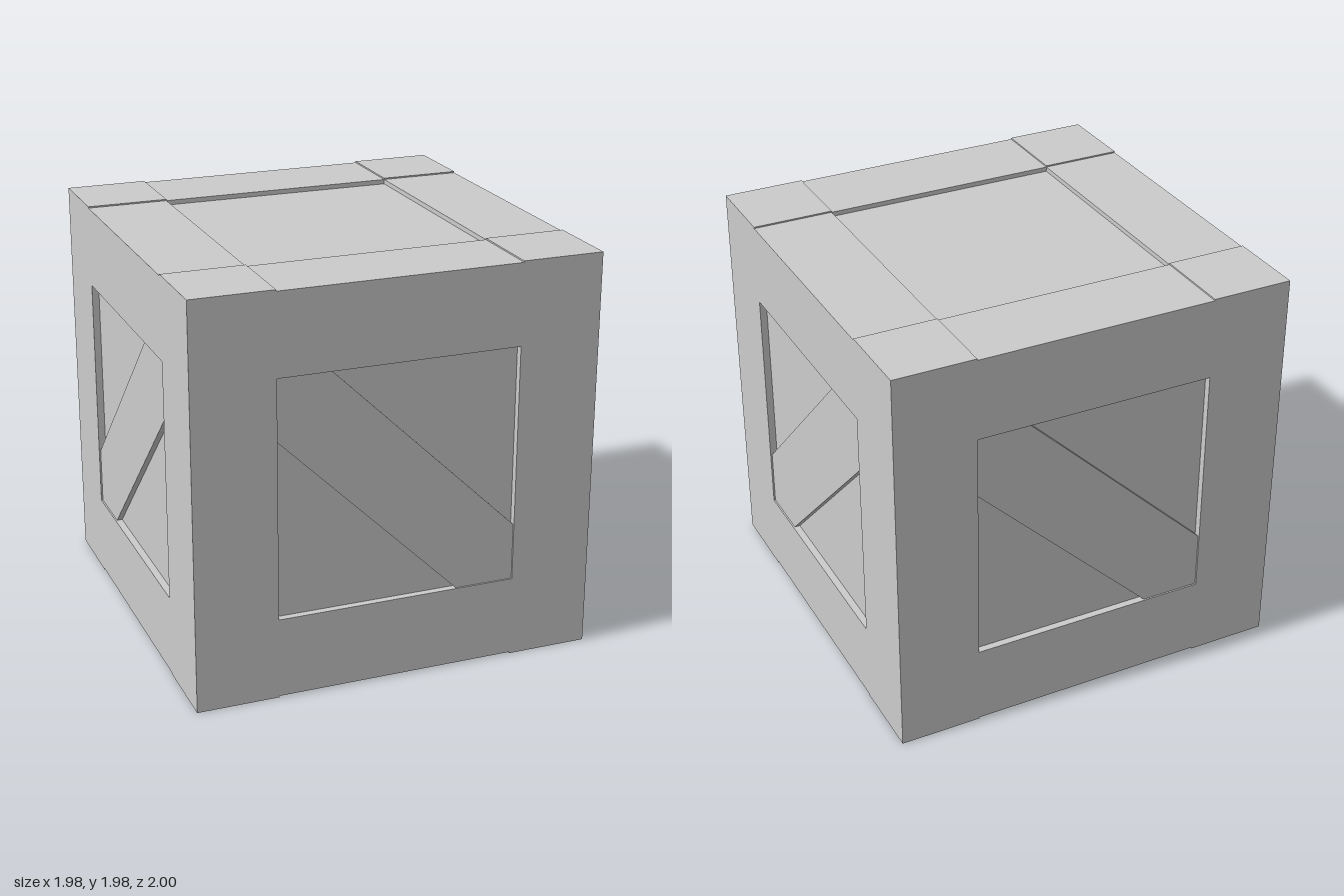
import * as THREE from 'three';

const H = 1.975;             // overall height
const LIP = 0.007;           // corner posts stand this far beyond the rails
const X = 0.99, Z = 1.0;     // half extents
const IX = 0.59, IZ = 0.605; // half widths of the panel openings
const Y0 = 0.40, Y1 = 1.57;  // bottom and top of the side openings
const PANEL = 0.035;         // depth of the side panels
const BRACE = 0.008;         // depth of the brace faces

export function createModel() {
  const crate = new THREE.Group();
  crate.name = 'crate';
  const material = new THREE.MeshStandardMaterial({ color: 0xcccccc, flatShading: true });

  const add = (name, geometry, parent = crate) => {
    const mesh = new THREE.Mesh(geometry, material);
    mesh.name = name;
    parent.add(mesh);
    return mesh;
  };
  // box given by its lower and upper corners
  const box = (name, [x0, y0, z0], [x1, y1, z1]) =>
    add(name, new THREE.BoxGeometry(x1 - x0, y1 - y0, z1 - z0))
      .position.set((x0 + x1) / 2, (y0 + y1) / 2, (z0 + z1) / 2);

  // recessed panels on all six sides
  box('panelCore', [-X + PANEL, 0.03, -Z + PANEL], [X - PANEL, H - 0.03, Z - PANEL]);

  // four square corner posts
  for (const sx of [-1, 1]) for (const sz of [-1, 1]) {
    const w = X - IX, d = Z - IZ;
    add('cornerPost', new THREE.BoxGeometry(w, H, d))
      .position.set(sx * (IX + w / 2), H / 2, sz * (IZ + d / 2));
  }

  // rails between the posts, at the bottom and the top
  for (const [name, y0, y1] of [['bottomRail', LIP, Y0], ['topRail', Y1, H - LIP]]) {
    box(name, [-IX, y0, IZ], [IX, y1, Z]);
    box(name, [-IX, y0, -Z], [IX, y1, -IZ]);
    box(name, [IX, y0, -IZ], [X, y1, IZ]);
    box(name, [-X, y0, -IZ], [-IX, y1, IZ]);
  }

  // diagonal brace filling two corners of an opening
  const brace = (name, outline, face, turn) => {
    const shape = new THREE.Shape(outline.map(([u, v]) => new THREE.Vector2(u, v)));
    const depth = PANEL - BRACE;
    const geometry = new THREE.ExtrudeGeometry(shape, { depth, bevelEnabled: false });
    geometry.translate(0, 0, face - PANEL);
    add(name, geometry).rotation.y = turn;
  };
  const falling = [[-IX, Y1], [-IX, 1.27], [0.30, Y0], [IX, Y0], [IX, 0.68], [-0.33, Y1]];
  const rising = [[-IZ, Y0], [0.33 - 0.66, Y0], [0.33, Y0]].slice(0, 1)
    .concat([[-0.33, Y0], [IZ, 1.30], [IZ, Y1], [0.31, Y1], [-IZ, 0.68]]);
  brace('frontBrace', falling, Z, 0);
  brace('backBrace', falling, Z, Math.PI);
  brace('leftBrace', rising, X, Math.PI / 2);
  brace('rightBrace', rising, X, -Math.PI / 2);

  return crate;
}
